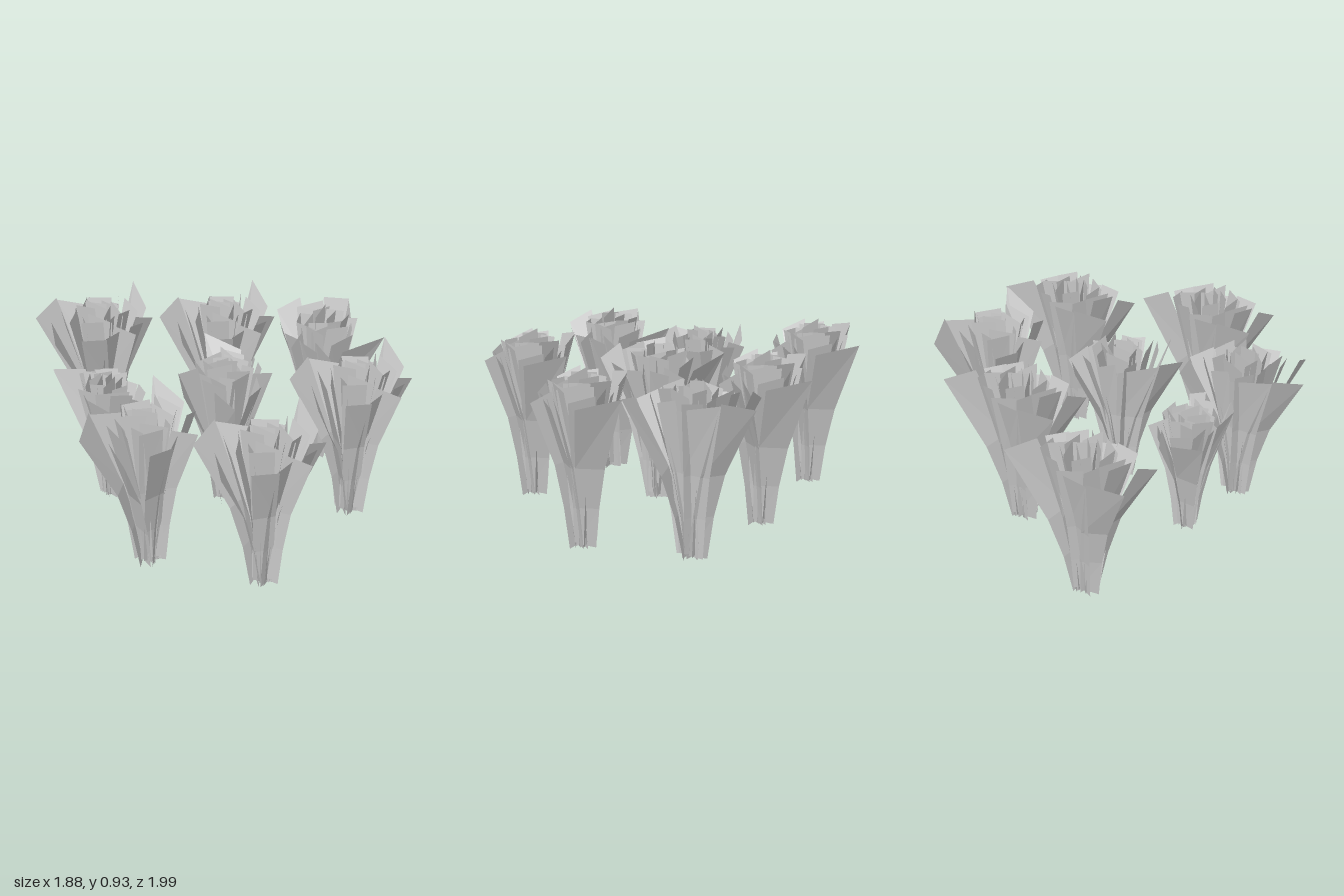
import * as THREE from 'three';
import { mergeGeometries } from 'three/addons/utils/BufferGeometryUtils.js';

// Outer leaves: the two tip corners, each [x, y, z] from the clump's centre
const OUTER_TIPS = [
  [[-0.30, 0.83, -0.16], [-0.14, 0.88, -0.23]],
  [[-0.14, 0.87, -0.23], [0.07, 0.81, -0.14]],
  [[-0.32, 0.80, 0.12], [-0.28, 0.87, 0.00]],
  [[-0.22, 0.85, 0.05], [-0.18, 0.88, -0.09]],
  [[0.32, 0.88, -0.19], [0.28, 0.82, 0.03]],
  [[0.21, 0.83, 0.06], [0.20, 0.86, -0.07]],
  [[0.16, 0.84, 0.13], [0.28, 0.79, 0.10]],
  [[0.10, 0.80, 0.24], [0.02, 0.83, 0.14]],
  [[-0.19, 0.81, 0.17], [-0.06, 0.80, 0.21]],
  [[-0.06, 0.80, 0.20], [0.05, 0.80, 0.16]],
  [[0.10, 0.82, 0.18], [0.20, 0.80, 0.14]],
];

// Height of each cross-section and how far it has moved from foot to tip
const BENDS = [[0.24, 0.14], [0.47, 0.37]];

// A leaf is a flat strip: narrow slanted foot, gentle bend, wide cut tip
function leaf(a, b, spread, footY, slant) {
  const A = new THREE.Vector3(...a), B = new THREE.Vector3(...b);
  const edge = B.clone().sub(A).setY(0).normalize();
  const foot = A.clone().add(B).setY(0).normalize().multiplyScalar(spread).setY(footY);
  const sides = [[A, -1], [B, 1]].map(([tip, side]) => {
    const low = foot.clone().addScaledVector(edge, side * 0.05);
    low.y += side * slant;
    const bends = BENDS.map(([y, t]) => low.clone().lerp(tip, t).setY(y));
    return [low, ...bends, tip];
  });
  const pts = [], index = [];
  for (let i = 0; i < 4; i++) {
    pts.push(...sides[0][i].toArray(), ...sides[1][i].toArray());
    const k = 2 * i;
    if (i < 3) index.push(k, k + 1, k + 2, k + 1, k + 3, k + 2);
  }
  const geo = new THREE.BufferGeometry();
  geo.setAttribute('position', new THREE.Float32BufferAttribute(pts, 3));
  geo.setIndex(index);
  const flat = geo.toNonIndexed();
  flat.computeVertexNormals();
  return flat;
}

// Upright inner leaves fill the heart of the clump, crossing each other
function innerLeaf(i, count) {
  const r = 0.16 * Math.sqrt((i + 0.3) / count);
  const t = i * 2.4 + 2.5;
  const turn = t + 0.7 * Math.sin(i * 1.7);
  const cx = Math.cos(t) * r, cz = Math.sin(t) * r;
  const half = 0.06 + 0.012 * Math.sin(i * 2.9);
  const ex = -Math.sin(turn) * half, ez = Math.cos(turn) * half;
  const y = 0.92 - 0.3 * r - 0.015 * (i % 3);
  const tilt = 0.015 * Math.cos(i * 1.3);
  return leaf([cx - ex, y - tilt, cz - ez], [cx + ex, y + tilt, cz + ez],
    0.01 + 0.01 * (i % 3), 0.02 + 0.01 * (i % 3), 0.012 * Math.sin(i));
}

function clumpParts() {
  const outer = OUTER_TIPS.map(([a, b], i) =>
    leaf(a, b, 0.035, 0.018 + 0.006 * (i % 3), 0.018 * Math.sin(i * 2 + 1)));
  const inner = Array.from({ length: 18 }, (_, i) => innerLeaf(i, 18));
  return { outerLeaves: mergeGeometries(outer), innerLeaves: mergeGeometries(inner) };
}

// Clumps: x, y, z, turn in degrees, scale
const CLUMPS = [
  [-0.29, 0, -0.77, 0, 1],
  [0.29, 0, -0.43, 0, 1],
  [0.52, 0, 0.49, 0, 1],
  [-0.20, 0, 0.75, 0, 1],
  [-0.60, 0, 0.31, 24, 1],
  [-0.01, 0.04, 0.09, 46, 0.94],
  [-0.55, 0.10, -0.19, 97, 0.8],
  [0.69, 0, -0.04, -98, 1],
];

export function createModel() {
  const model = new THREE.Group();
  model.name = 'grassClumps';
  const material = new THREE.MeshStandardMaterial({
    color: 0xcccccc, flatShading: true, side: THREE.DoubleSide,
  });
  const parts = clumpParts();
  CLUMPS.forEach(([x, y, z, turn, size], i) => {
    const clump = new THREE.Group();
    clump.name = `clump${i + 1}`;
    for (const [name, geometry] of Object.entries(parts)) {
      const mesh = new THREE.Mesh(geometry, material);
      mesh.name = name;
      clump.add(mesh);
    }
    clump.position.set(x, y, z);
    clump.rotation.y = THREE.MathUtils.degToRad(turn);
    clump.scale.setScalar(size);
    model.add(clump);
  });
  return model;
}
